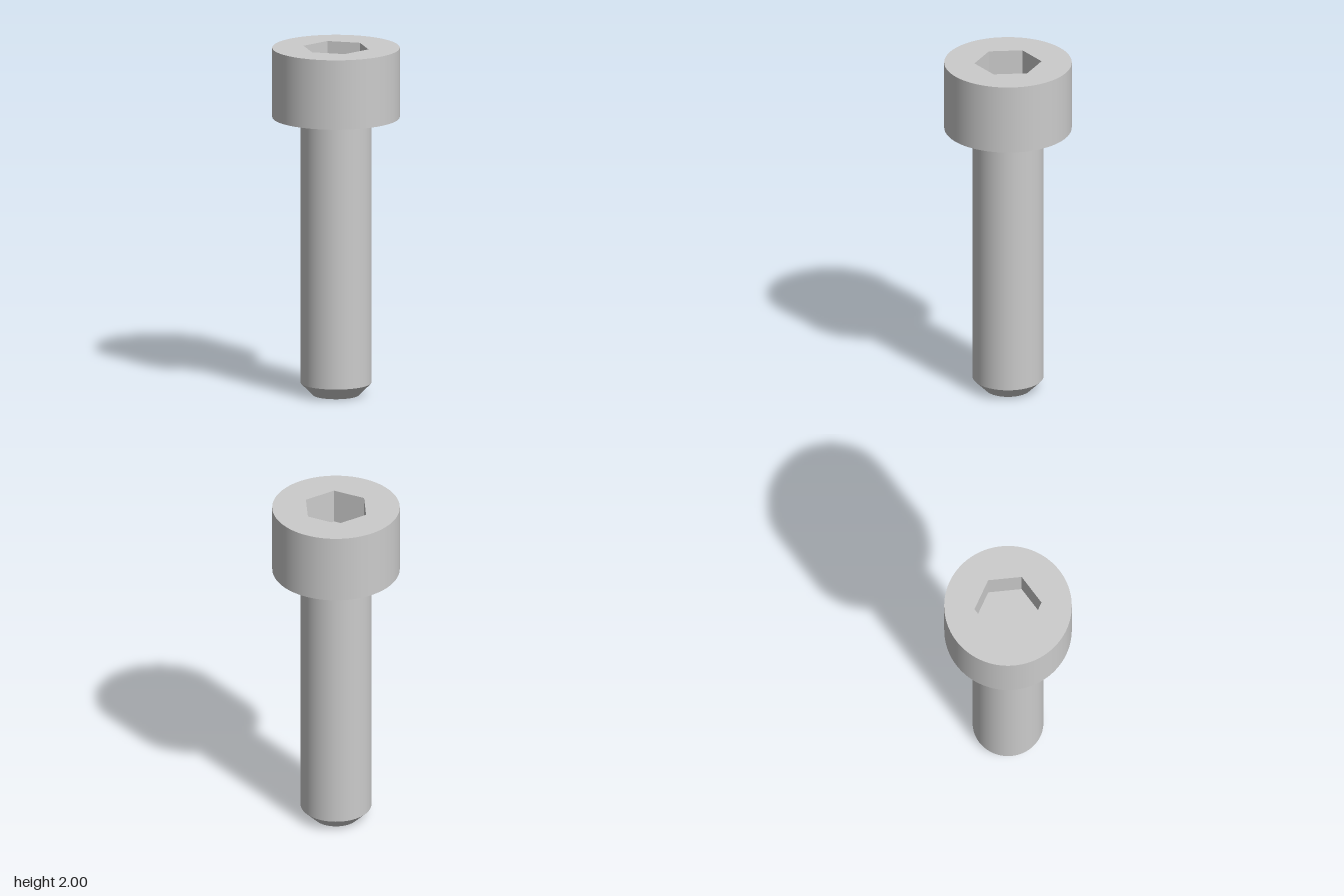
import * as THREE from 'three';

const SEGMENTS = 96;
const HEAD_R = 0.36, SHANK_R = 0.2, TIP_R = 0.13, SOCKET_R = 0.19;
const TOP = 2, HEAD_Y = 1.6, SOCKET_Y = 1.8, CHAMFER_Y = 0.07;

export function createModel() {
  const model = new THREE.Group();
  model.name = 'socketHeadBolt';
  const material = new THREE.MeshStandardMaterial({ color: 0xcccccc });

  const add = (parent, name, geometry) => {
    const mesh = new THREE.Mesh(geometry, material);
    mesh.name = name;
    parent.add(mesh);
  };
  const group = (name) => {
    const g = new THREE.Group();
    g.name = name;
    model.add(g);
    return g;
  };

  // Open round or conical wall between two heights
  const wall = (rTop, rBottom, yTop, yBottom, sides = SEGMENTS) =>
    new THREE.CylinderGeometry(rTop, rBottom, yTop - yBottom, sides, 1, true, Math.PI / 2)
      .translate(0, (yTop + yBottom) / 2, 0);

  // Head: side wall, underside ring and top face with a hexagonal opening
  const head = group('head');
  add(head, 'headSide', wall(HEAD_R, HEAD_R, TOP, HEAD_Y));
  add(head, 'headUnderside',
    new THREE.RingGeometry(SHANK_R, HEAD_R, SEGMENTS).rotateX(Math.PI / 2).translate(0, HEAD_Y, 0));

  const face = new THREE.Shape().absarc(0, 0, HEAD_R, 0, Math.PI * 2, false);
  const corners = Array.from({ length: 6 }, (_, i) => {
    const a = (i * Math.PI) / 3;
    return new THREE.Vector2(SOCKET_R * Math.cos(a), SOCKET_R * Math.sin(a));
  });
  face.holes.push(new THREE.Path(corners));
  add(head, 'headTop',
    new THREE.ShapeGeometry(face, SEGMENTS).rotateX(-Math.PI / 2).translate(0, TOP, 0));

  // Hex socket: mirrored so the flat walls face inward, plus its floor
  const socket = group('hexSocket');
  const socketWall = wall(SOCKET_R, SOCKET_R, TOP, SOCKET_Y, 6).scale(-1, 1, 1).toNonIndexed();
  socketWall.computeVertexNormals();
  add(socket, 'socketWalls', socketWall);
  add(socket, 'socketFloor',
    new THREE.CircleGeometry(SOCKET_R, 6).rotateX(-Math.PI / 2).translate(0, SOCKET_Y, 0));

  // Shank with chamfered tip
  const shank = group('shank');
  add(shank, 'shankSide', wall(SHANK_R, SHANK_R, HEAD_Y, CHAMFER_Y));
  add(shank, 'tipChamfer', wall(SHANK_R, TIP_R, CHAMFER_Y, 0));
  add(shank, 'tipEnd', new THREE.CircleGeometry(TIP_R, SEGMENTS).rotateX(Math.PI / 2));

  return model;
}
